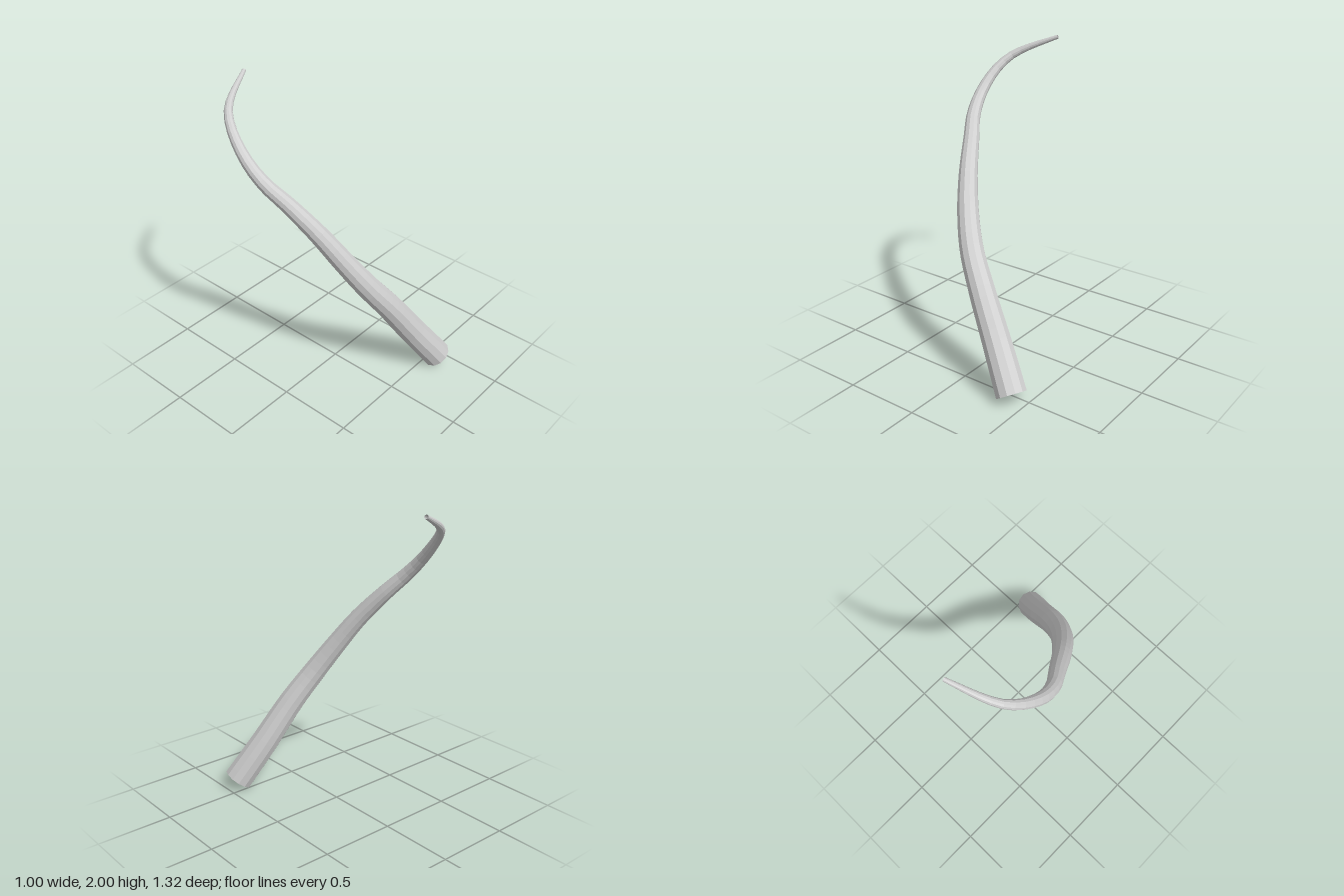
import * as THREE from 'three';

export function createModel() {
  const group = new THREE.Group();
  group.name = 'curvedHorn';

  const grey = new THREE.MeshStandardMaterial({ color: 0xcccccc, flatShading: true, side: THREE.DoubleSide });
  grey.name = 'lightGrey';

  // centre line from the wide open base to the thin tip
  const path = new THREE.CatmullRomCurve3([
    [0.416, 0.06, 0.565], [0.245, 0.32, 0.482], [0.065, 0.6, 0.402],
    [-0.07, 0.8, 0.325], [-0.18, 1.0, 0.222], [-0.275, 1.2, 0.098],
    [-0.375, 1.4, -0.065], [-0.432, 1.5, -0.155], [-0.46, 1.6, -0.25],
    [-0.458, 1.7, -0.345], [-0.43, 1.79, -0.435], [-0.38, 1.855, -0.507],
    [-0.3, 1.905, -0.562], [-0.1, 1.99, -0.65],
  ].map((p) => new THREE.Vector3(...p)));

  // open tube, tapered by scaling every ring about its centre
  const rings = 40, sides = 12;
  const horn = new THREE.TubeGeometry(path, rings, 1, sides, false);
  const pos = horn.attributes.position;
  const v = new THREE.Vector3();
  for (let i = 0; i <= rings; i++) {
    const u = i / rings;
    const centre = path.getPointAt(u);
    const radius = 0.013 + 0.086 * (1 - Math.pow(u, 1.3));
    for (let j = 0; j <= sides; j++) {
      const k = i * (sides + 1) + j;
      v.fromBufferAttribute(pos, k).sub(centre).multiplyScalar(radius).add(centre);
      pos.setXYZ(k, v.x, v.y, v.z);
    }
  }
  horn.computeVertexNormals();

  const mesh = new THREE.Mesh(horn, grey);
  mesh.name = 'horn';
  group.add(mesh);
  return group;
}
